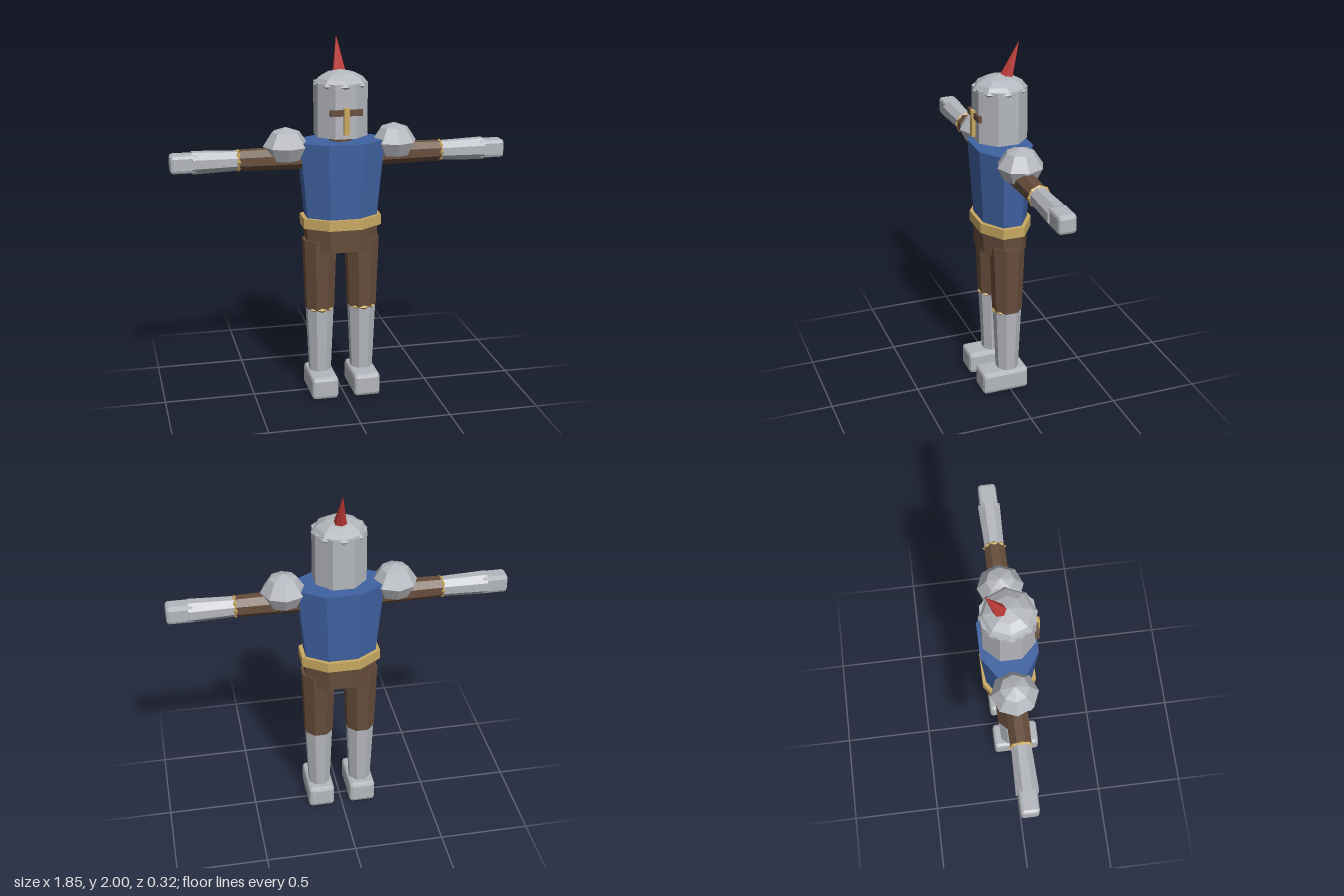
import * as THREE from 'three';
import { RoundedBoxGeometry } from 'three/addons/geometries/RoundedBoxGeometry.js';

function material(name, color) {
  const m = new THREE.MeshStandardMaterial({ color, flatShading: true });
  m.name = name;
  return m;
}

// Eight-sided tapered prism with flat front and sides; radii measured to the flats
function prism(top, bottom, height, stretch = 1) {
  const k = 1 / Math.cos(Math.PI / 8);
  return new THREE.CylinderGeometry(top * k, bottom * k, height, 8)
    .rotateY(Math.PI / 8).scale(stretch, 1, 1);
}

// Faceted dome from [radius, height] pairs, listed bottom to top
function dome(points) {
  return new THREE.LatheGeometry(points.map(([r, y]) => new THREE.Vector2(r, y)), 8);
}

export function createModel() {
  const steel = material('steel', 0xb4b7bd);
  const cloth = material('blue cloth', 0x4062a2);
  const leather = material('brown leather', 0x664d3b);
  const gold = material('gold', 0xc9a962);
  const red = material('red plume', 0xbd3a36);

  const model = new THREE.Group();
  model.name = 'knight';

  function add(name, geometry, mat, x, y, z = 0, parent = model) {
    const mesh = new THREE.Mesh(geometry, mat);
    mesh.name = name;
    mesh.position.set(x, y, z);
    parent.add(mesh);
    return mesh;
  }

  // Body
  add('torso', prism(0.152, 0.125, 0.45, 1.53), cloth, 0, 1.225, -0.003);
  add('belt', prism(0.146, 0.146, 0.057, 1.48), gold, 0, 1.003, -0.003);
  add('hips', prism(0.13, 0.125, 0.15, 1.53), leather, 0, 0.918, -0.003);
  add('neck', prism(0.06, 0.06, 0.12), leather, 0, 1.48);

  // Helmet with a faceted cap, cross-shaped visor and tilted plume
  add('helmet', prism(0.137, 0.137, 0.29), steel, 0, 1.625);
  add('helmetCap', dome([[0, 1.74], [0.135, 1.742], [0.15, 1.757], [0.125, 1.79],
    [0.075, 1.817], [0, 1.833]]), steel, 0, 0);
  add('visorSlit', new THREE.BoxGeometry(0.176, 0.033, 0.02), leather, 0, 1.622, 0.14);
  add('visorRidge', new THREE.BoxGeometry(0.03, 0.145, 0.02), gold, 0, 1.578, 0.151);
  const plume = new THREE.ConeGeometry(0.045, 0.24, 6).translate(0, 0.12, 0);
  add('plume', plume, red, 0, 1.776, -0.024).rotation.x = -0.36;

  for (const [label, s] of [['left', 1], ['right', -1]]) {
    // Leg
    const leg = new THREE.Group();
    leg.name = label + 'Leg';
    leg.position.x = s * 0.12;
    model.add(leg);
    add('thigh', prism(0.09, 0.077, 0.4), leather, 0, 0.7, 0, leg);
    add('shin', prism(0.074, 0.058, 0.4), steel, 0, 0.3, 0, leg);
    add('kneeGuard', new THREE.TorusGeometry(0.055, 0.024, 4, 8).rotateX(Math.PI / 2),
      gold, 0, 0.5, 0.01, leg);
    add('foot', new RoundedBoxGeometry(0.15, 0.128, 0.27, 1, 0.02), steel, 0, 0.064, 0.03, leg);

    // Arm, stretched straight out to the side
    const arm = new THREE.Group();
    arm.name = label + 'Arm';
    arm.position.set(0, 1.362, -0.003);
    model.add(arm);
    const along = (a, b, r0, r1) =>
      prism(r1, r0, b - a).rotateZ(-s * Math.PI / 2).translate(s * (a + b) / 2, 0, 0);
    add('upperArm', along(0.18, 0.56, 0.06, 0.054), leather, 0, 0, 0, arm);
    add('forearm', along(0.56, 0.808, 0.051, 0.059), steel, 0, 0, 0, arm);
    add('elbowGuard', new THREE.TorusGeometry(0.04, 0.024, 4, 8).rotateY(Math.PI / 2),
      gold, s * 0.56, 0, 0, arm);
    add('hand', new RoundedBoxGeometry(0.15, 0.1, 0.098, 1, 0.018), steel, s * 0.85, 0, 0, arm);
    add('shoulderGuard', dome([[0, -0.005], [0.088, -0.005], [0.125, 0.068],
      [0.075, 0.144], [0, 0.17]]), steel, s * 0.3, 0, 0, arm);
  }
  return model;
}
